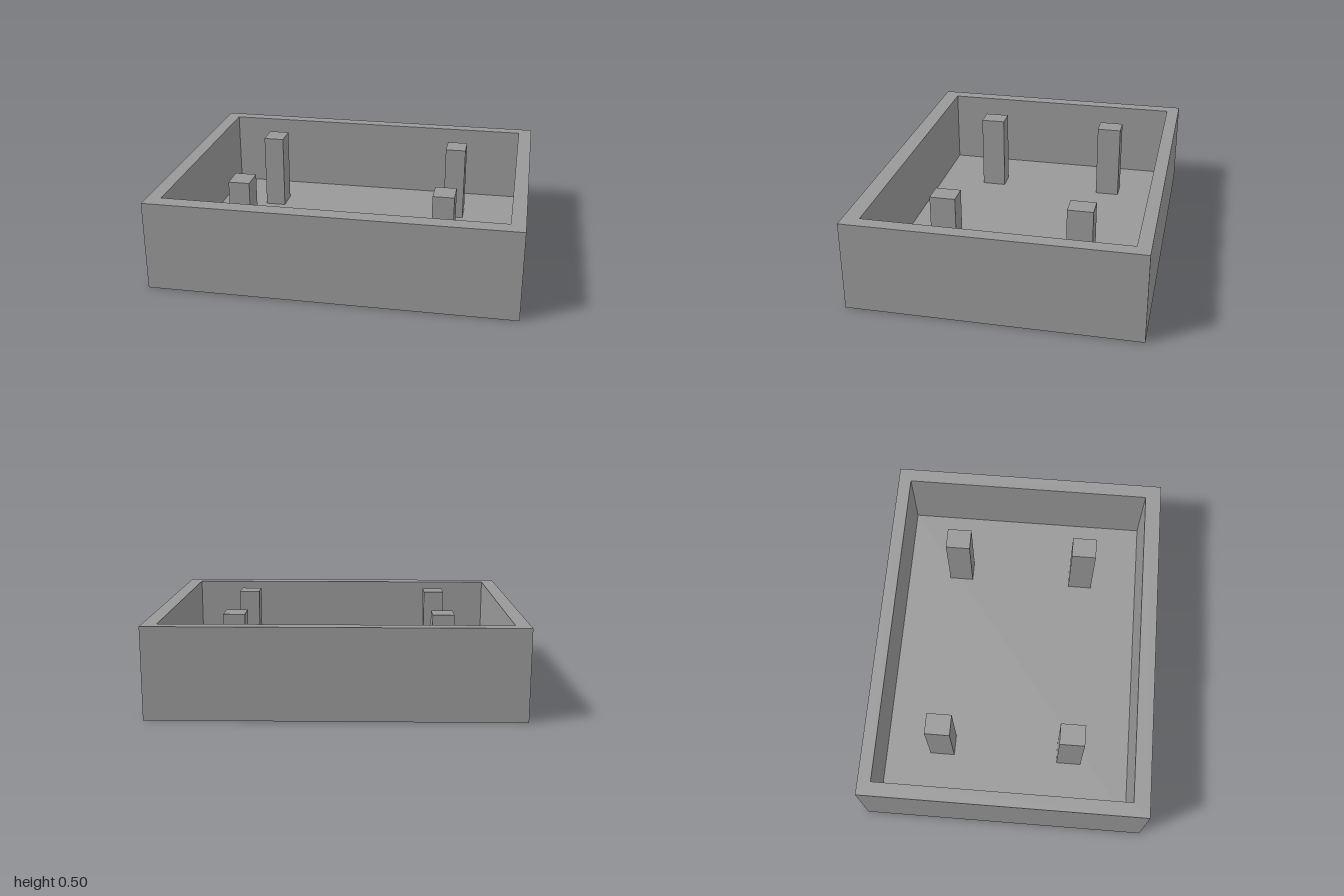
import * as THREE from 'three';

const HEIGHT = 0.498, FLOOR = 0.06;
const inner = { x0: -0.922, x1: 0.922, z0: -0.717, z1: 0.7 };

// Adds a rectangle in plan to a shape or path (plan y is -z)
function rect(path, x0, x1, z0, z1) {
  path.moveTo(x0, -z1);
  path.lineTo(x1, -z1);
  path.lineTo(x1, -z0);
  path.lineTo(x0, -z0);
  path.closePath();
  return path;
}

export function createModel() {
  const group = new THREE.Group();
  group.name = 'openTray';
  const grey = new THREE.MeshStandardMaterial({ color: 0x989898 });
  grey.name = 'plainGrey';

  const add = (name, geometry, x = 0, y = 0, z = 0) => {
    const mesh = new THREE.Mesh(geometry, grey);
    mesh.name = name;
    mesh.position.set(x, y, z);
    group.add(mesh);
  };

  // Rectangular rim of walls
  const outline = rect(new THREE.Shape(), -1, 1, -0.79, 0.79);
  outline.holes.push(rect(new THREE.Path(), inner.x0, inner.x1, inner.z0, inner.z1));
  const walls = new THREE.ExtrudeGeometry(outline, { depth: HEIGHT, bevelEnabled: false });
  walls.rotateX(-Math.PI / 2);
  add('walls', walls);

  // Floor plate filling the opening
  add('floor', new THREE.BoxGeometry(inner.x1 - inner.x0, FLOOR, inner.z1 - inner.z0),
    (inner.x0 + inner.x1) / 2, FLOOR / 2, (inner.z0 + inner.z1) / 2);

  // Four posts standing on the floor, just proud of the rim
  const postHeight = 0.5 - FLOOR;
  for (const x of [-0.577, 0.557]) {
    for (const z of [-0.39, 0.353]) {
      const name = (z > 0 ? 'front' : 'back') + (x > 0 ? 'Left' : 'Right') + 'Post';
      add(name, new THREE.BoxGeometry(0.118, postHeight, 0.14), x, FLOOR + postHeight / 2, z);
    }
  }
  return group;
}
